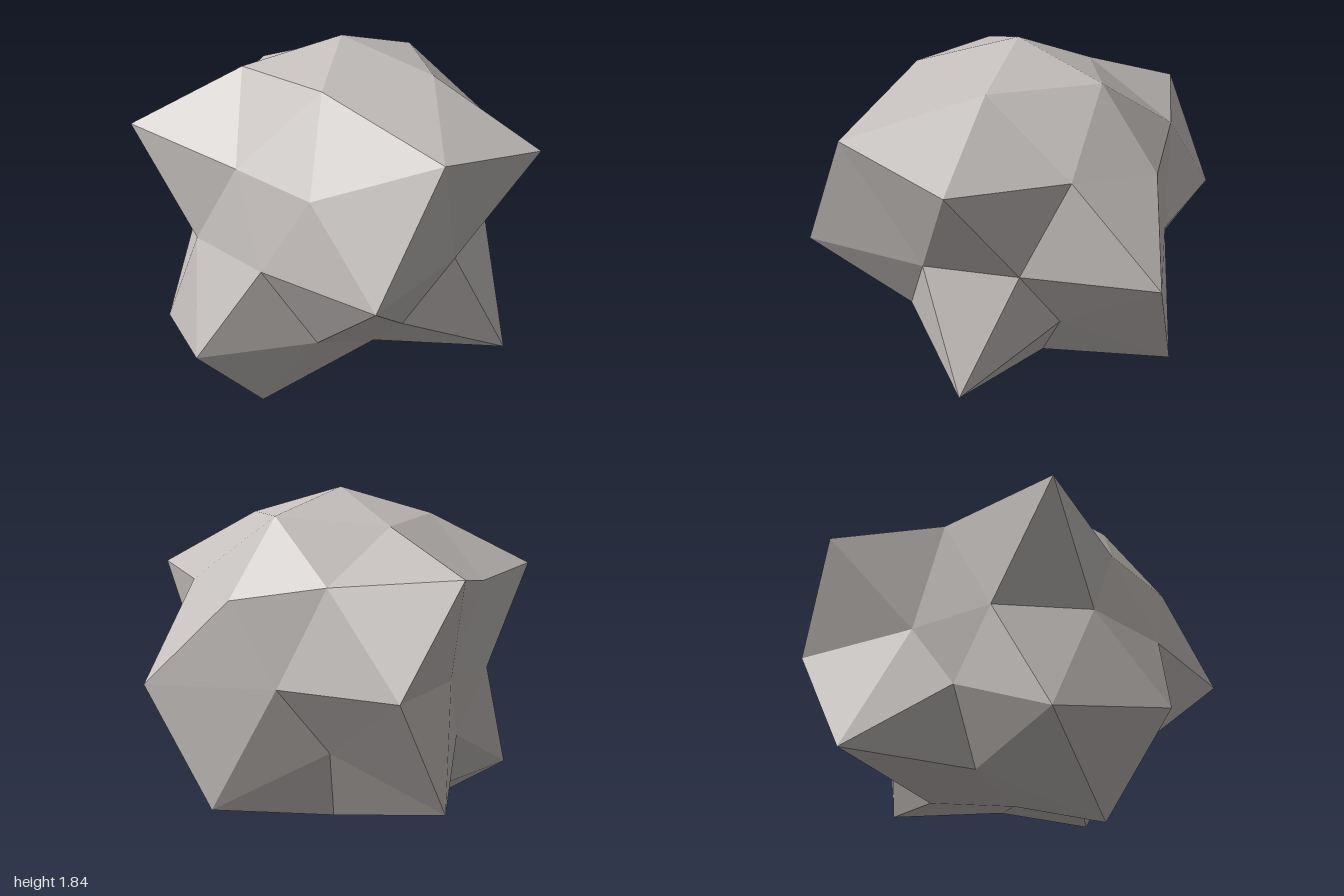
import * as THREE from 'three';

// Faceted boulder: a once-subdivided icosahedron standing on a corner,
// with each vertex pushed in or out along its own direction.
const CENTRE = new THREE.Vector3(-0.034, 0.928, 0);
const RADII = {
  top: 0.92,
  upperCap: [0.917, 0.93, 0.943, 0.922, 0.86],
  upperRing: [0.892, 0.885, 1.157, 1.176, 0.88, 0.797, 1.157, 0.885, 1.16, 0.9],
  equator: [1.087, 0.737, 0.772, 1.085, 0.787, 0.787, 0.758, 0.7, 1.085, 0.77],
  lowerRing: [1.087, 0.713, 1.087, 0.747, 0.78, 1.085, 1.087, 0.71, 1.086, 0.71],
  lowerCap: [0.742, 0.704, 1.087, 0.775, 0.803],
  bottom: 0.72,
};

// Ring of points; heights alternate between the given unit-sphere heights
function ring(radii, startDeg, heights) {
  return radii.map((r, i) => {
    const angle = THREE.MathUtils.degToRad(startDeg + (360 / radii.length) * i);
    const y = heights[i % heights.length];
    const flat = Math.sqrt(1 - y * y);
    return new THREE.Vector3(Math.cos(angle) * flat, y, Math.sin(angle) * flat).multiplyScalar(r);
  });
}

function boulderGeometry() {
  const corner = 0.4472, middle = 0.5257, cap = 0.8507;
  const top = new THREE.Vector3(0, RADII.top, 0);
  const bottom = new THREE.Vector3(0, -RADII.bottom, 0);
  const upperCap = ring(RADII.upperCap, 0, [cap]);
  const upper = ring(RADII.upperRing, 0, [corner, middle]);
  const equator = ring(RADII.equator, 18, [0]);
  const lower = ring(RADII.lowerRing, 0, [-middle, -corner]);
  const lowerCap = ring(RADII.lowerCap, 36, [-cap]);

  // Every face is turned to look away from the centre
  const points = [];
  const face = (a, b, c) => {
    const outward = a.dot(b.clone().cross(c)) > 0;
    points.push(a, ...(outward ? [b, c] : [c, b]));
  };

  // Caps: pole, five points, then the ring of ten whose corners start at `first`
  const addCap = (pole, five, ten, first) => {
    for (let k = 0; k < 5; k++) {
      const j = 2 * k + first;
      const next = five[(k + 1) % 5];
      const before = ten[(j + 9) % 10], at = ten[j], after = ten[(j + 1) % 10];
      face(pole, five[k], next);
      face(five[k], next, after);
      face(five[k], at, after);
      face(five[k], before, at);
    }
  };
  addCap(top, upperCap, upper, 0);
  addCap(bottom, lowerCap, lower, 1);

  // Bands on either side of the equator
  for (const ten of [upper, lower]) {
    for (let j = 0; j < 10; j++) {
      face(ten[j], equator[j], ten[(j + 1) % 10]);
      face(equator[(j + 9) % 10], equator[j], ten[j]);
    }
  }

  const geometry = new THREE.BufferGeometry().setFromPoints(points);
  geometry.computeVertexNormals();
  return geometry;
}

export function createModel() {
  const stone = new THREE.MeshStandardMaterial({ color: 0xc4bfbc, flatShading: true });
  stone.name = 'pale stone grey';

  const boulder = new THREE.Mesh(boulderGeometry(), stone);
  boulder.name = 'boulder';
  boulder.position.copy(CENTRE);

  const model = new THREE.Group();
  model.name = 'rock';
  model.add(boulder);
  return model;
}
